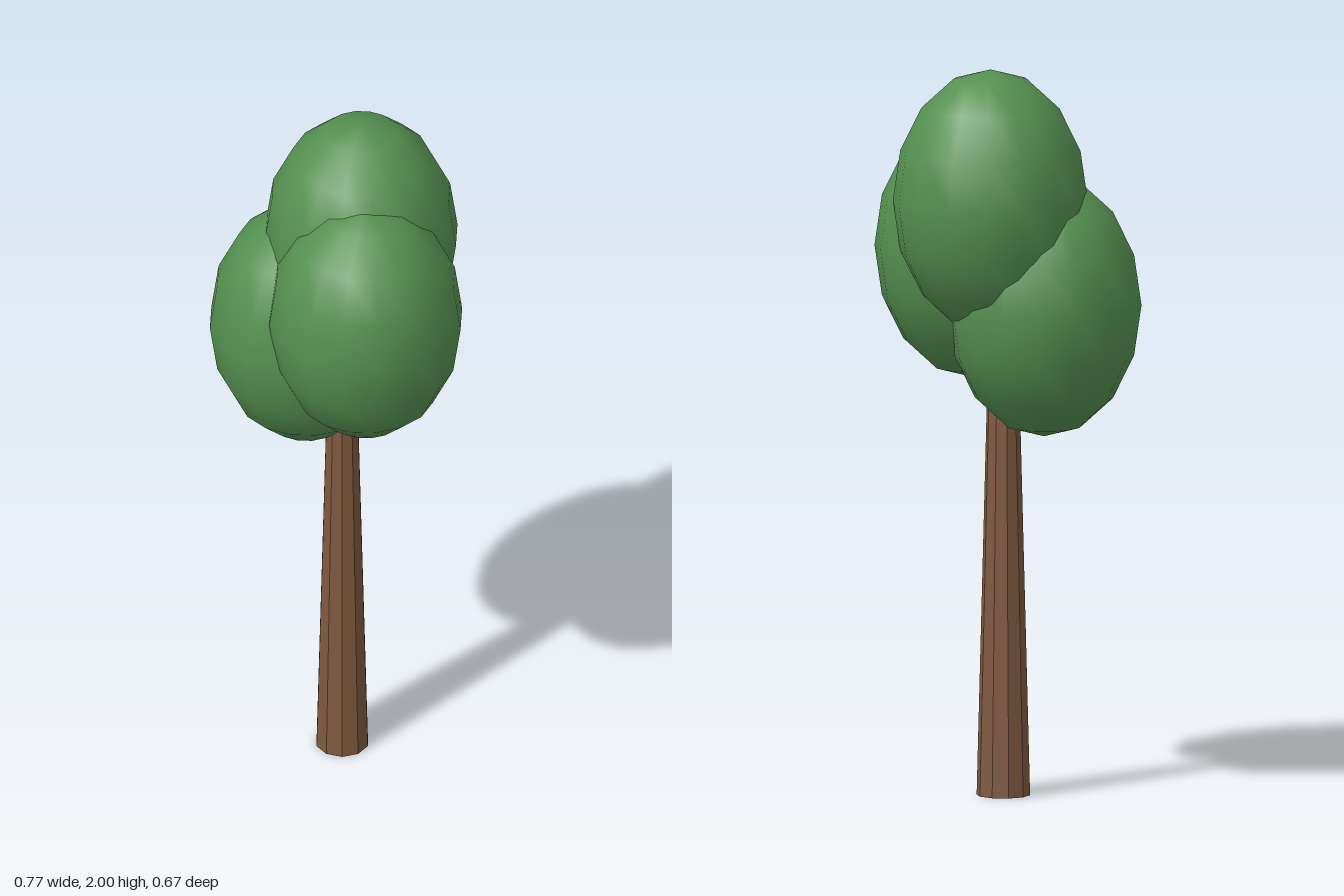
import * as THREE from 'three';

export function createModel() {
  const tree = new THREE.Group();
  tree.name = 'tree';
  const bark = new THREE.MeshStandardMaterial({ color: 0x805a40, flatShading: true });
  const leaf = new THREE.MeshStandardMaterial({ color: 0x559050 });

  // Tapered trunk, its top buried in the foliage
  const height = 1.2;
  const trunk = new THREE.Mesh(new THREE.CylinderGeometry(0.042, 0.073, height, 10), bark);
  trunk.name = 'trunk';
  trunk.position.set(0.002, height / 2, 0.016);
  tree.add(trunk);

  // Three overlapping egg-shaped clumps of leaves
  const clumps = [
    ['foliageTop', 0, 1.64, -0.073],
    ['foliageLeft', 0.12, 1.493, 0.07],
    ['foliageRight', -0.12, 1.352, 0.014],
  ];
  const ball = new THREE.SphereGeometry(1, 16, 8);
  for (const [name, x, y, z] of clumps) {
    const clump = new THREE.Mesh(ball, leaf);
    clump.name = name;
    clump.position.set(x, y, z);
    clump.scale.set(0.265, 0.361, 0.265);
    tree.add(clump);
  }
  return tree;
}
